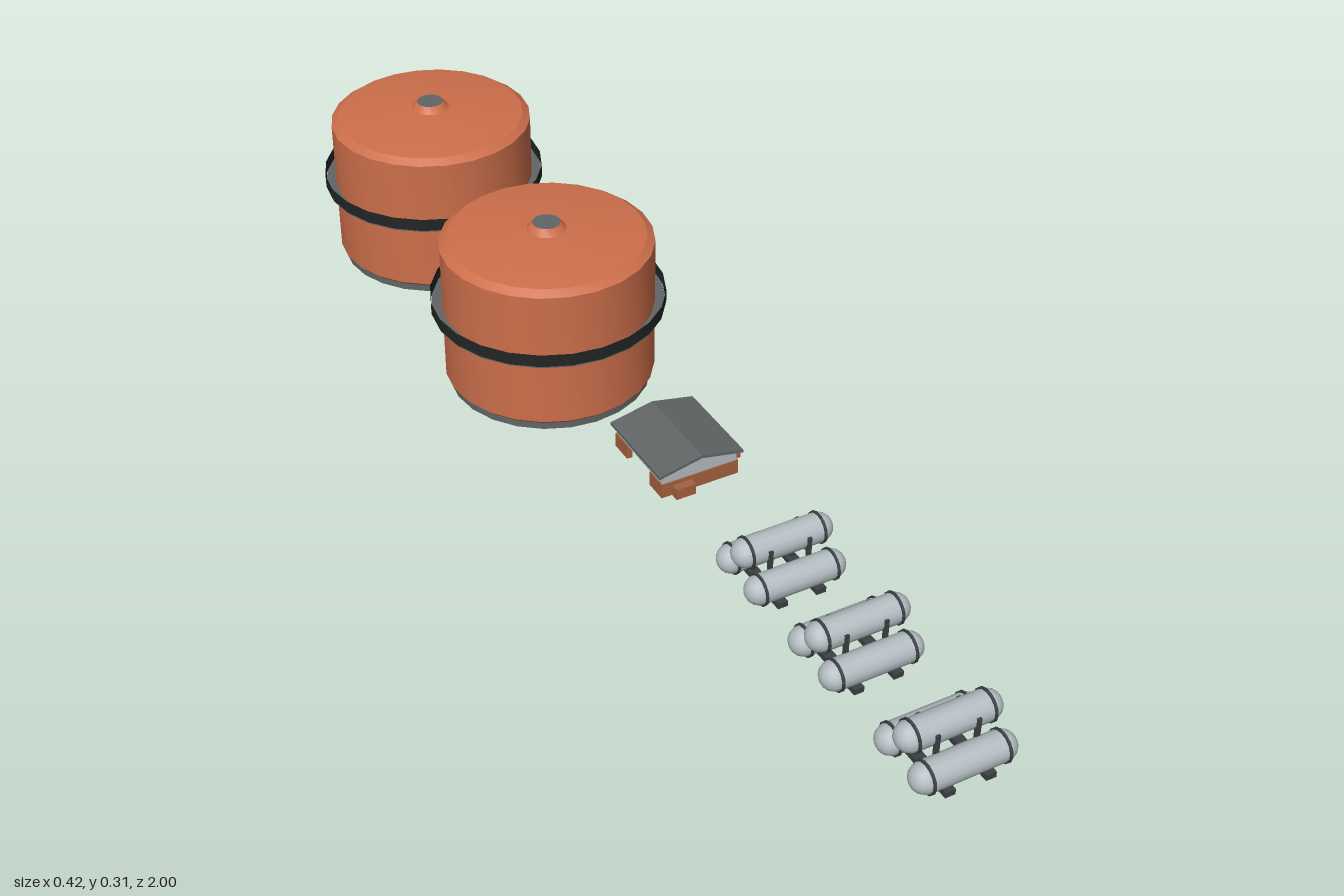
import * as THREE from 'three';
import { toCreasedNormals } from 'three/addons/utils/BufferGeometryUtils.js';

const mat = (name, color) => new THREE.MeshStandardMaterial({ name, color, side: THREE.DoubleSide });

export function createModel() {
  const orange = mat('orange paint', 0xcd6f4b);
  const grey = mat('dark grey metal', 0x616565);
  const black = mat('black rail', 0x232525);
  const silver = mat('light grey metal', 0xb4bec2);
  const brown = mat('brown wall', 0xa5623f);
  const strapGrey = mat('strap grey', 0x3d4143);

  function add(parent, name, geometry, material, x = 0, y = 0, z = 0) {
    const mesh = new THREE.Mesh(geometry, material);
    mesh.name = name;
    mesh.position.set(x, y, z);
    parent.add(mesh);
    return mesh;
  }
  const box = (parent, name, material, w, h, d, x, y, z) =>
    add(parent, name, new THREE.BoxGeometry(w, h, d), material, x, y, z);
  const lathe = (points, sides = 24) => toCreasedNormals(
    new THREE.LatheGeometry(points.map(([r, y]) => new THREE.Vector2(r, y)), sides), 0.45);
  // Extrudes an x,y outline along z, centred on depth
  function prism(points, depth) {
    const shape = new THREE.Shape(points.map(([x, y]) => new THREE.Vector2(x, y)));
    return new THREE.ExtrudeGeometry(shape, { depth, bevelEnabled: false }).translate(0, 0, -depth / 2);
  }

  // Large round tank, open below, with a railed walkway
  function storageTank(z) {
    const g = new THREE.Group();
    g.name = 'storageTank';
    g.position.z = z;
    add(g, 'tankShell', lathe([[0.183, 0.013], [0.19, 0.02], [0.19, 0.278], [0.176, 0.288],
      [0.13, 0.294], [0.075, 0.299], [0.035, 0.301]]), orange);
    add(g, 'baseRing', lathe([[0.183, 0], [0.183, 0.014]]), grey);
    add(g, 'ventCollar', lathe([[0.036, 0.3], [0.025, 0.313]], 16), orange);
    add(g, 'ventLid', new THREE.CircleGeometry(0.025, 16).rotateX(-Math.PI / 2), grey, 0, 0.313);
    add(g, 'walkway', lathe([[0.189, 0.149], [0.209, 0.149], [0.209, 0.155], [0.189, 0.155]]), grey);
    add(g, 'railing', lathe([[0.21, 0.152], [0.21, 0.176]]), black);
    return g;
  }

  // Small gabled hut with counter walls and two open sides
  function hut() {
    const g = new THREE.Group();
    g.name = 'hut';
    g.position.set(-0.01, 0, 0.1925);
    add(g, 'roof', prism([[-0.0765, 0.169], [0, 0.185], [0.0765, 0.169],
      [0.0765, 0.174], [0, 0.19], [-0.0765, 0.174]], 0.165), grey);
    box(g, 'ceiling', black, 0.13, 0.002, 0.145, 0, 0.168, 0);
    for (const s of [-1, 1]) {
      add(g, 'gable', prism([[-0.068, 0.152], [0.068, 0.152], [0.068, 0.171],
        [0, 0.185], [-0.068, 0.171]], 0.006), silver, 0, 0, s * 0.073);
      box(g, 'upperWall', silver, 0.006, 0.02, 0.146, s * 0.065, 0.162, 0);
      // Corner pieces leave openings on the back and the right
      box(g, 'backCorner', brown, 0.036, 0.026, 0.01, s * 0.052, 0.14, -0.073);
      box(g, 'sideCorner', brown, 0.01, 0.026, 0.04, -0.065, 0.14, s * 0.058);
    }
    box(g, 'frontWall', brown, 0.14, 0.026, 0.01, 0, 0.14, 0.073);
    box(g, 'leftWall', brown, 0.01, 0.026, 0.156, 0.065, 0.14, 0);
    box(g, 'frontStep', brown, 0.035, 0.02, 0.016, -0.033, 0.136, 0.084);
    box(g, 'sideStep', brown, 0.026, 0.02, 0.036, 0.082, 0.136, 0.026);
    return g;
  }

  // Three stacked gas cylinders on skids
  function cylinderRack(z) {
    const g = new THREE.Group();
    g.name = 'cylinderRack';
    g.position.z = z;
    const r = 0.024;
    const bottle = new THREE.CapsuleGeometry(r, 0.126, 5, 14).rotateZ(Math.PI / 2);
    const strap = new THREE.CylinderGeometry(r + 0.0025, r + 0.0025, 0.004, 14).rotateZ(Math.PI / 2);
    for (const [y, dz] of [[0.138, -0.041], [0.138, 0.041], [0.18, 0]]) {
      add(g, 'gasCylinder', bottle, silver, 0, y, dz);
      for (const s of [-1, 1]) add(g, 'strap', strap, strapGrey, s * 0.063, y, dz);
    }
    for (const s of [-1, 1]) {
      box(g, 'skid', strapGrey, 0.017, 0.01, 0.128, s * 0.034, 0.113, 0);
      for (const t of [-1, 1]) {
        box(g, 'saddle', strapGrey, 0.013, 0.008, 0.024, s * 0.034, 0.12, t * 0.041);
        // Upright holding the top cylinder
        box(g, 'upright', strapGrey, 0.007, 0.072, 0.006, s * 0.034, 0.152, t * 0.023);
      }
    }
    return g;
  }

  const model = new THREE.Group();
  model.name = 'tankFarm';
  for (const z of [-0.79, -0.292]) model.add(storageTank(z));
  model.add(hut());
  for (const z of [0.5, 0.708, 0.933]) model.add(cylinderRack(z));
  return model;
}
